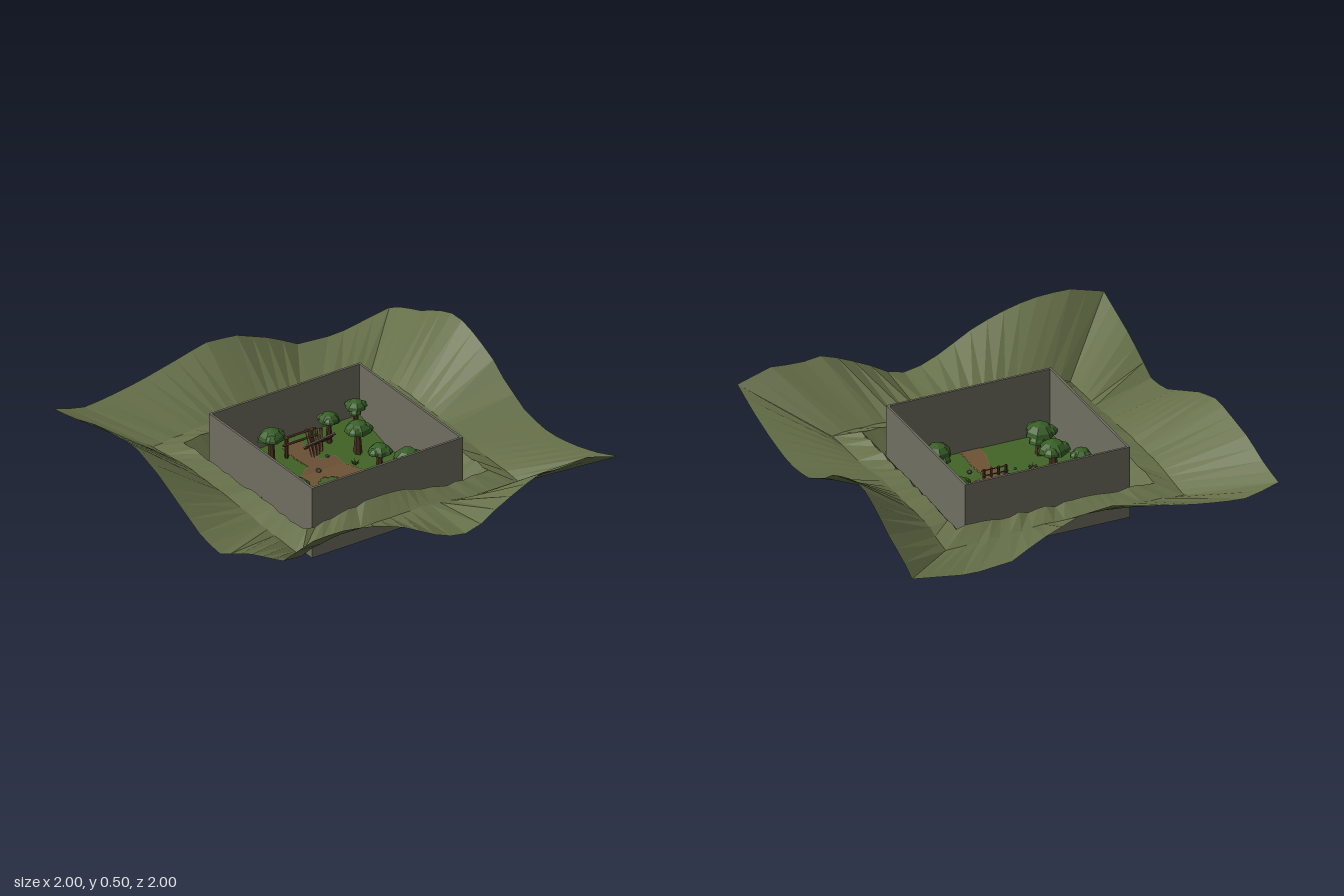
import * as THREE from 'three';

const mat = (name, color, opts = {}) => {
  const m = new THREE.MeshStandardMaterial({ color, flatShading: true, ...opts });
  m.name = name;
  return m;
};
const both = { side: THREE.DoubleSide };
const FLOOR = 0.04;
const CREASE = -0.18;
// The lawn is level in front and rises toward the back wall
const ground = (z) => FLOOR + Math.max(0, CREASE - z) * 0.27;

export function createModel() {
  const M = {
    hill: mat('hill green', 0x656f48, both),
    wall: mat('wall stone', 0x716f61),
    grass: mat('grass green', 0x436527, both),
    path: mat('dirt brown', 0x6d5336),
    verge: mat('verge tan', 0x6f6a40),
    leaf: mat('leaf green', 0x385f27),
    bark: mat('bark brown', 0x4d3424),
    log: mat('log red brown', 0x6b4430),
    rock: mat('rock grey', 0x57504e),
  };
  const root = new THREE.Group();
  root.name = 'walledGarden';
  let seed = 7;
  const rand = () => (seed = (seed * 16807) % 2147483647) / 2147483647;
  const add = (parent, name, geo, material, x = 0, y = 0, z = 0) => {
    const m = new THREE.Mesh(geo, material);
    m.name = name;
    m.position.set(x, y, z);
    parent.add(m);
    return m;
  };

  // Hills: square rings joined by strips, heights from one profile per side
  const rims = [
    [[-1, .42], [-.82, .475], [-.67, .48], [-.5, .455], [-.3, .39], [-.1, .28], [.05, .22], [.15, .23], [.3, .32], [.53, .425], [.66, .41], [.82, .425], [1, .37]],
    [[-1, .37], [-.8, .3], [-.6, .25], [-.4, .22], [-.2, .24], [0, .34], [.1, .41], [.25, .47], [.41, .51], [.58, .455], [.75, .37], [.87, .335], [1, .27]],
    [[-1, .27], [-.68, .22], [-.45, .24], [-.31, .32], [-.08, .41], [.1, .425], [.28, .38], [.5, .33], [.7, .3], [.84, .29], [1, .34]],
    [[-1, .34], [-.85, .36], [-.65, .42], [-.3, .46], [-.1, .4], [.1, .31], [.3, .22], [.45, .2], [.7, .32], [1, .42]],
  ];
  const ditches = [
    [[-1, .168], [-.75, .21], [.2, .212], [.5, .178], [1, .168]],
    [[-1, .168], [-.4, .175], [-.2, .205], [.7, .21], [1, .168]],
    [[-1, .168], [-.5, .18], [.5, .2], [1, .168]],
    [[-1, .168], [-.6, .2], [0, .2], [.5, .175], [1, .168]],
  ];
  const heightAt = (table, s) => {
    let i = 1;
    while (i < table.length - 1 && s > table[i][0]) i++;
    const [a, b] = [table[i - 1], table[i]];
    return a[1] + (b[1] - a[1]) * (s - a[0]) / (b[0] - a[0]);
  };
  const onSquare = (side, s, h, y) => [
    [s * h, y, h], [h, y, -s * h], [-s * h, y, -h], [-h, y, s * h],
  ][side];
  const SEG = 22;
  const ring = (h, heightFn) => {
    const pts = [];
    for (let side = 0; side < 4; side++) {
      for (let i = 0; i < SEG; i++) {
        const s = -1 + 2 * i / SEG;
        pts.push(onSquare(side, s, h, heightFn(side, s)));
      }
    }
    return pts;
  };
  // The front bank swells toward its left part
  const swell = (side, s) => side === 0 ? Math.max(0, Math.cos((s + 0.25) * 1.9)) : 0;
  const rings = [
    ring(1, (side, s) => heightAt(rims[side], s)),
    ring(0.65, (side, s) => heightAt(ditches[side], s) + rand() * 0.01),
    ring(0.54, (side, s) => 0.21 + rand() * 0.02 + swell(side, s) * 0.06),
    ring(0.45, () => 0.088 + rand() * 0.014),
  ];
  const pos = [];
  for (let r = 0; r < 3; r++) {
    const [A, B] = [rings[r], rings[r + 1]];
    A.forEach((a, i) => {
      const j = (i + 1) % A.length;
      pos.push(...a, ...A[j], ...B[j], ...a, ...B[j], ...B[i]);
    });
  }
  const hillGeo = new THREE.BufferGeometry();
  hillGeo.setAttribute('position', new THREE.Float32BufferAttribute(pos, 3));
  hillGeo.computeVertexNormals();
  add(root, 'hills', hillGeo, M.hill);

  // Perimeter walls
  for (const s of [-1, 1]) {
    add(root, 'sideWall', new THREE.BoxGeometry(0.012, 0.395, 0.9), M.wall, s * 0.444, 0.1975, 0);
    add(root, 'endWall', new THREE.BoxGeometry(0.876, 0.395, 0.012), M.wall, 0, 0.1975, s * 0.444);
  }

  // Lawn and winding path with a pale verge, lifted to the ground height
  const drape = (geo) => {
    const p = geo.attributes.position;
    for (let i = 0; i < p.count; i++) p.setY(i, p.getY(i) + ground(p.getZ(i)));
    geo.computeVertexNormals();
    return geo;
  };
  const lawn = new THREE.PlaneGeometry(0.878, 0.878, 1, 2).rotateX(-Math.PI / 2);
  for (const i of [2, 3]) lawn.attributes.position.setZ(i, CREASE);
  add(root, 'lawn', drape(lawn), M.grass);
  const v = ([x, z]) => new THREE.Vector2(x, -z);
  const addPath = (name, outline, hole) => {
    const shape = new THREE.Shape(outline.map(v));
    if (hole) shape.holes.push(new THREE.Path(hole.map(v)));
    const geo = new THREE.ExtrudeGeometry(shape, { depth: 0.007, bevelEnabled: false });
    add(root, name, drape(geo.rotateX(-Math.PI / 2).translate(0, -0.003, 0)), M.path);
    const rim = new THREE.ExtrudeGeometry(shape,
      { depth: 0.001, bevelThickness: 0.0005, bevelSize: 0.004, bevelSegments: 1 });
    add(root, name + 'Verge', drape(rim.rotateX(-Math.PI / 2).translate(0, 0.001, 0)), M.verge);
  };
  addPath('loopPath', [
    [-.05, .435], [.05, .435], [.06, .3], [.05, .16], [.12, .14], [.19, .05], [.21, -.08], [.165, CREASE],
    [-.09, CREASE], [-.2, -.07], [-.18, .02], [-.08, .14], [-.04, .16], [-.02, .26], [-.05, .36]],
  [[0, -.12], [.06, -.09], [.08, -.02], [0, .06], [-.08, -.01], [-.06, -.08]]);
  addPath('risingPath', [
    [-.09, CREASE], [.165, CREASE], [.16, -.24], [.07, -.25], [.08, -.32], [.05, -.38],
    [0, -.42], [-.05, -.39], [-.04, -.31], [-.01, -.23]]);

  // Trees: tapered trunk under a clump of faceted crowns
  const crownProfile = [[0.001, -.12], [.6, -.2], [1, -.1], [.9, .3], [.55, .68], [0.001, .85]]
    .map(([r, y]) => new THREE.Vector2(r, y));
  const crown = new THREE.LatheGeometry(crownProfile, 7);
  const addCrown = (g, r, x, y, z) => {
    const c = add(g, 'crown', crown, M.leaf, x, y, z);
    c.scale.set(r, r * 0.85, r);
    c.rotation.y = rand() * 6;
  };
  const trees = [[-.37, -.29, .066, .275], [-.16, -.33, .072, .275], [.19, -.34, .06, .25], [.37, -.37, .058, .25],
    [.28, -.22, .074, .23], [.28, -.03, .064, .19], [.29, .2, .078, .27], [-.3, .26, .084, .22],
    [-.28, .07, .084, .22], [-.4, 0, .058, .18], [-.27, -.15, .056, .19]];
  for (const [x, z, r, top] of trees) {
    const g = new THREE.Group();
    g.name = 'tree';
    g.position.set(x, 0, z);
    const base = top - r * 0.72;
    const len = base - FLOOR + 0.01;
    add(g, 'trunk', new THREE.CylinderGeometry(r * .18, r * .32, len, 6), M.bark, 0, base - len / 2, 0);
    addCrown(g, r * .92, 0, base, 0);
    const turn = rand() * 6.28;
    for (const k of [0, 1, 2]) {
      const a = turn + k * 2.1;
      addCrown(g, r * .55, Math.cos(a) * r * .52, base - r * (k === 0 ? .3 : -.05), Math.sin(a) * r * .52);
    }
    root.add(g);
  }

  // Timber helper: a pole between two points
  const pole = (parent, name, a, b, r, material) => {
    const p = new THREE.Vector3(...a), q = new THREE.Vector3(...b);
    const m = add(parent, name, new THREE.CylinderGeometry(r, r, p.distanceTo(q), 6), material);
    m.position.copy(p).add(q).multiplyScalar(0.5);
    m.quaternion.setFromUnitVectors(new THREE.Vector3(0, 1, 0), q.sub(p).normalize());
  };

  // Timber gate at the back, with a pile of leaning logs
  const gate = new THREE.Group();
  gate.name = 'gate';
  root.add(gate);
  for (const x of [-.07, .08]) pole(gate, 'gatePost', [x, .04, -.33], [x, .19, -.33], .01, M.bark);
  for (const [y, z] of [[.16, -.318], [.185, -.34]]) pole(gate, 'gateBeam', [-.1, y, z], [.11, y, z], .006, M.log);
  for (let i = 0; i < 4; i++) {
    const t = i * 0.022;
    pole(gate, 'leaningLog', [.05 + t, .06, -.27 - t * .4], [.08 + t, .17, -.38 + t * .5], .008, M.log);
    if (i < 3) pole(gate, 'crossedLog', [.04, .07 + t, -.36 + t], [.17, .13 + t, -.3 + t], .008, M.bark);
  }

  // Low fence across the front path
  for (const x of [-.06, -.02, .02, .06]) pole(root, 'fencePost', [x, .03, .15], [x, .09, .15], .007, M.bark);
  for (const [y, z] of [[.06, .143], [.08, .157]]) pole(root, 'fenceRail', [-.07, y, z], [.07, y, z], .003, M.log);

  // Rocks and stumps
  const stone = new THREE.DodecahedronGeometry(1);
  const rocks = [[-.18, -.22, .015], [.02, -.18, .015], [-.16, -.05, .015], [.17, 0, .015], [.15, .15, .015], [.17, .07, .012],
    [.1, .23, .014], [-.05, .15, .008], [.24, .05, .012], [-.12, .17, .008], [.12, -.25, .011], [-.33, .15, .011]];
  for (const [x, z, r] of rocks) {
    const m = add(root, 'rock', stone, M.rock, x, ground(z) + r * 0.5, z);
    m.scale.set(r, r * 0.8, r);
    m.rotation.y = rand() * 6;
  }
  pole(root, 'fallenLog', [-.22, .048, .14], [-.16, .048, .11], .01, M.log);

  // Spiky plants
  const blade = new THREE.ConeGeometry(0.005, 0.035, 3).translate(0, 0.0175, 0);
  for (const [x, z] of [[-.25, -.06], [.25, .04], [.27, .12], [-.22, .02], [.21, -.14], [-.2, .14]]) {
    const g = new THREE.Group();
    g.name = 'spikyPlant';
    g.position.set(x, ground(z), z);
    for (let i = 0; i < 6; i++) {
      const b = add(g, 'blade', blade, M.leaf);
      b.rotation.set(0, i * Math.PI / 3, 0.9, 'YXZ');
    }
    root.add(g);
  }
  return root;
}
